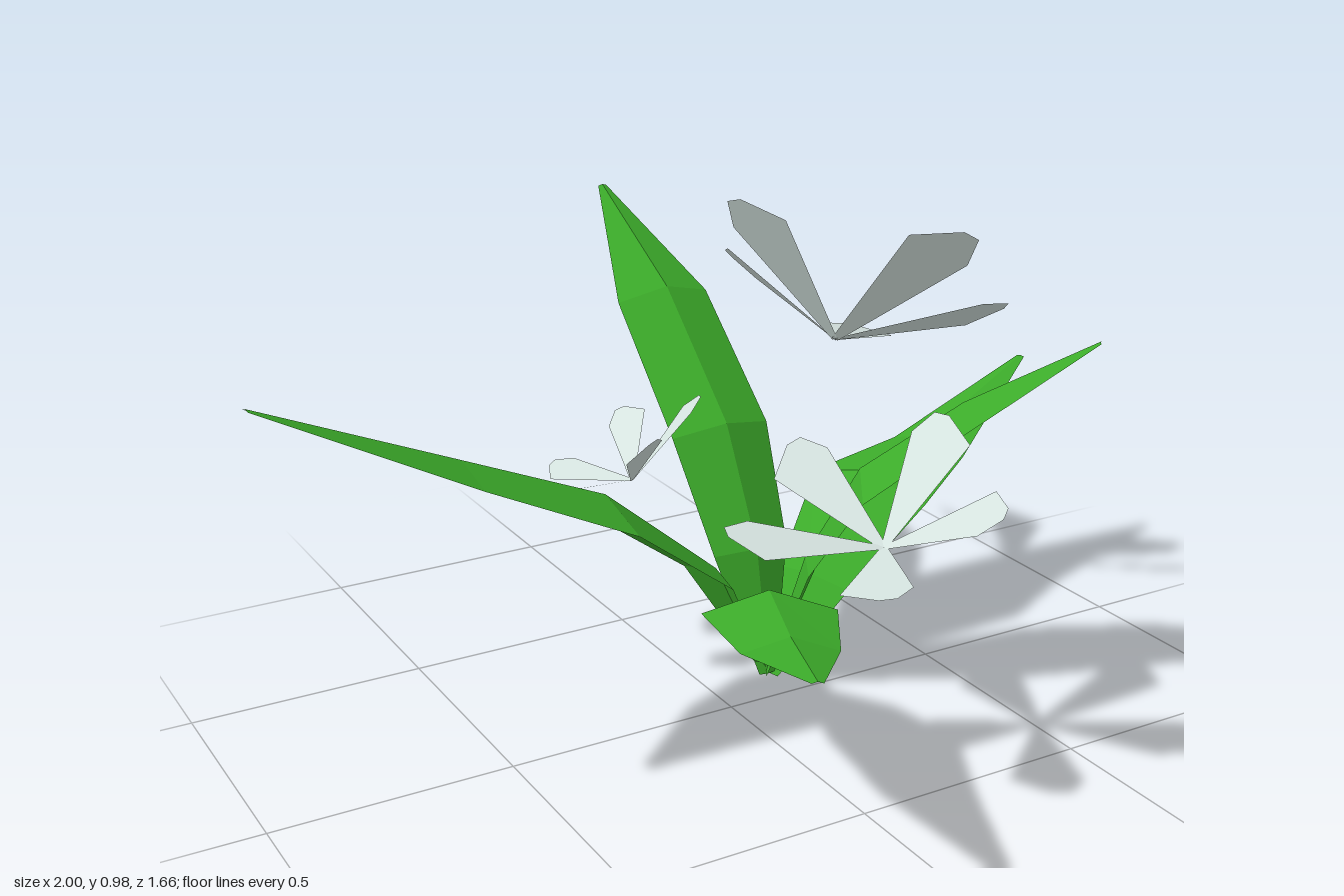
import * as THREE from 'three';

const leafMat = new THREE.MeshStandardMaterial({ color: 0x3cab2a, flatShading: true, side: THREE.DoubleSide });
const petalMat = new THREE.MeshStandardMaterial({ color: 0xd5e3df, flatShading: true, side: THREE.DoubleSide });
const V = (p) => new THREE.Vector3(...p);

function surface(points, index, mat, name) {
  const geo = new THREE.BufferGeometry().setFromPoints(points);
  geo.setIndex(index);
  geo.computeVertexNormals();
  const mesh = new THREE.Mesh(geo, mat);
  mesh.name = name;
  return mesh;
}

// Arching blade: a raised midrib with an edge on each side of every spine point
function leaf(spine, halfWidths, name) {
  const mids = spine.map(V);
  const along = mids[4].clone().sub(mids[0]);
  const side = new THREE.Vector3(-along.z, 0, along.x).normalize();
  const points = [];
  const index = [];
  mids.forEach((mid, i) => {
    const w = halfWidths[i];
    const tangent = mids[Math.min(i + 1, 4)].clone().sub(mids[Math.max(i - 1, 0)]).normalize();
    const up = side.clone().cross(tangent);
    if (up.y < 0) up.negate();
    for (const s of [-1, 0, 1]) {
      points.push(mid.clone().addScaledVector(side, s * w).addScaledVector(up, s === 0 ? w * 0.12 : -w * 0.2));
    }
    if (i === 4) return;
    for (let k = 0; k < 2; k++) {
      const a = i * 3 + k;
      index.push(a, a + 1, a + 3, a + 1, a + 4, a + 3);
    }
  });
  return surface(points, index, leafMat, name);
}

// Open cup of five wedge petals, given by the middle and the petal ends in order
function flower(centre, ends, w, name) {
  const group = new THREE.Group();
  group.name = name;
  const c = V(centre);
  const dirs = ends.map((e) => V(e).sub(c));
  const axis = new THREE.Vector3();
  dirs.forEach((d, i) => axis.add(dirs[(i + 1) % dirs.length].clone().cross(d)));
  axis.normalize();
  dirs.forEach((d, i) => {
    const side = axis.clone().cross(d).normalize();
    const at = (t, s) => c.clone().addScaledVector(d, t).addScaledVector(side, s * w);
    const skew = i % 2 ? 0.35 : -0.35;
    const points = [at(0, -0.1), at(0.87, -1), at(1.05, skew - 0.25), at(1.05, skew + 0.25), at(0.87, 1), at(0, 0.1)];
    group.add(surface(points, [0, 1, 5, 1, 4, 5, 1, 2, 4, 2, 3, 4], petalMat, 'petal' + (i + 1)));
  });
  return group;
}

export function createModel() {
  const model = new THREE.Group();
  model.name = 'floweringPlant';

  // Leaves fanning out from the root
  model.add(
    leaf([[0.11, 0.05, -0.06], [-0.02, 0.3, -0.04], [-0.3, 0.53, 0.02], [-0.6, 0.67, 0.05], [-1, 0.87, 0.13]],
      [0.02, 0.08, 0.14, 0.1, 0.01], 'rightLeaf'),
    leaf([[0.14, 0.01, -0.08], [0.14, 0.28, -0.14], [0.14, 0.52, -0.27], [0.14, 0.76, -0.53], [0.14, 0.94, -0.83]],
      [0.02, 0.09, 0.117, 0.11, 0.01], 'backLeaf'),
    leaf([[0.15, 0.003, -0.09], [0.28, 0.19, -0.14], [0.47, 0.36, -0.21], [0.68, 0.39, -0.27], [0.99, 0.53, -0.33]],
      [0.02, 0.1, 0.16, 0.1, 0.01], 'leftLeaf'),
    leaf([[0.13, 0.02, -0.07], [0.19, 0.3, 0], [0.27, 0.5, 0.08], [0.43, 0.65, 0.2], [0.6, 0.81, 0.39]],
      [0.02, 0.085, 0.13, 0.11, 0.01], 'frontLeftLeaf'),
    leaf([[0.1, 0.09, -0.03], [0.01, 0.27, 0.12], [-0.08, 0.38, 0.28], [-0.17, 0.4, 0.5], [-0.32, 0.5, 0.82]],
      [0.02, 0.09, 0.13, 0.09, 0.01], 'frontRightLeaf'),
  );

  // Three blossoms floating among the leaves
  model.add(
    flower([0.46, 0.65, -0.33],
      [[0.39, 0.78, -0.68], [0.7, 0.58, -0.57], [0.82, 0.69, -0.22], [0.57, 0.93, -0.05], [0.25, 0.97, -0.36]], 0.08, 'largeFlower'),
    flower([-0.11, 0.46, -0.22],
      [[-0.21, 0.45, -0.4], [-0.03, 0.55, -0.4], [0.03, 0.62, -0.2], [-0.16, 0.59, -0.06], [-0.32, 0.48, -0.19]], 0.045, 'smallFlower'),
    flower([0.11, 0.48, 0.38],
      [[0.06, 0.6, 0.12], [0.31, 0.67, 0.3], [0.22, 0.61, 0.59], [-0.06, 0.5, 0.6], [-0.17, 0.53, 0.31]], 0.066, 'frontFlower'),
  );
  return model;
}
